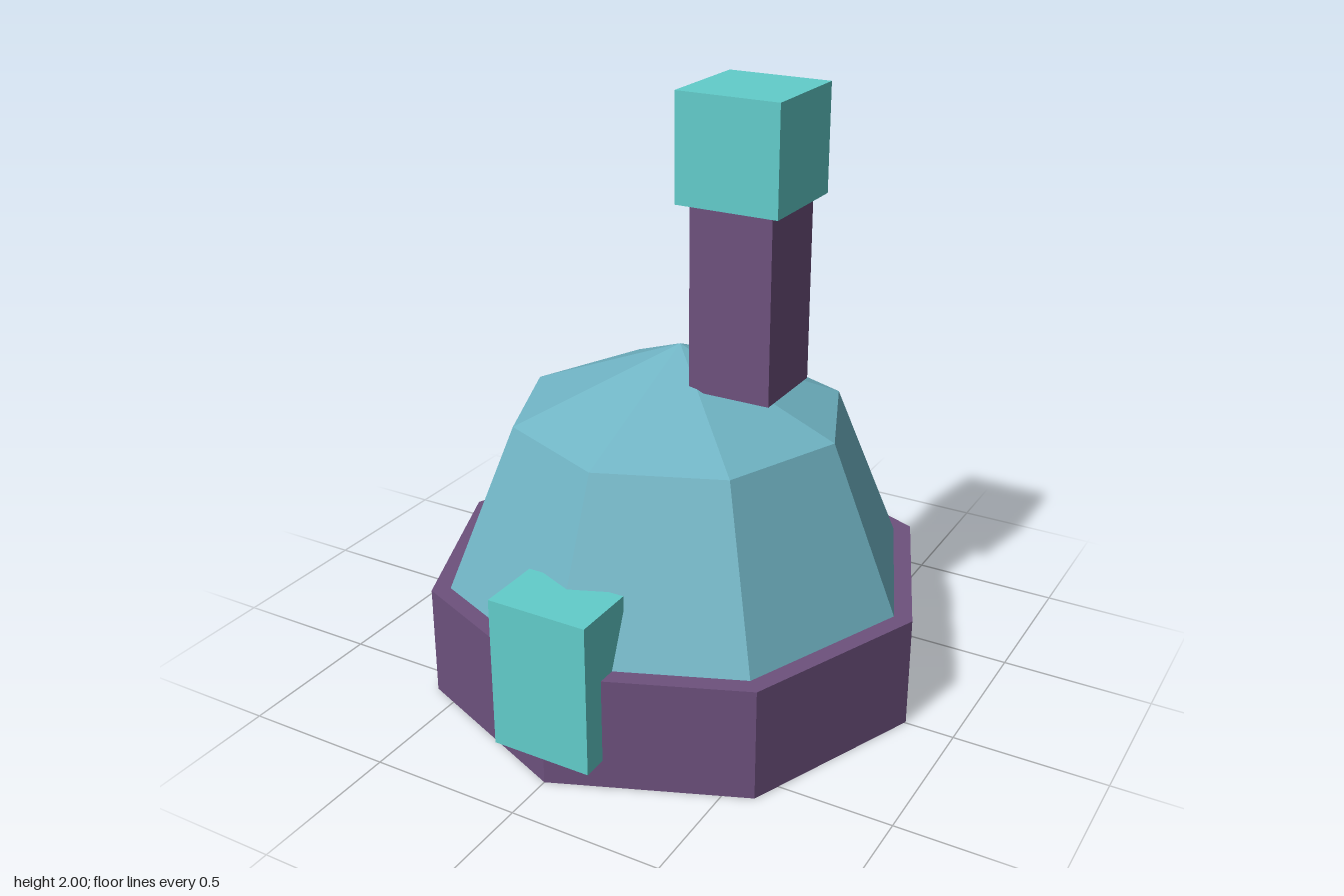
import * as THREE from 'three';

const flat = (name, color) => {
  const m = new THREE.MeshStandardMaterial({ color, flatShading: true });
  m.name = name;
  return m;
};

export function createModel() {
  const model = new THREE.Group();
  model.name = 'domeHut';
  const purple = flat('purple', 0x6d517d);
  const blue = flat('dustyBlue', 0x70b4c4);
  const teal = flat('teal', 0x62cdcb);
  const zc = -0.005; // the round body sits slightly behind centre

  const add = (name, geometry, material, x, y, z) => {
    const mesh = new THREE.Mesh(geometry, material);
    mesh.name = name;
    mesh.position.set(x, y, z);
    model.add(mesh);
  };

  // Octagonal base with a faceted half-sphere on top
  add('base', new THREE.CylinderGeometry(0.837, 0.837, 0.375, 8), purple, 0, 0.1875, zc);
  add('dome', new THREE.SphereGeometry(0.775, 8, 2, 0, Math.PI * 2, 0, Math.PI / 2), blue, 0, 0.375, zc);

  // Door block pushed into the front corner
  add('door', new THREE.BoxGeometry(0.335, 0.5, 0.215), teal, 0, 0.345, 0.7375);

  // Chimney, off to the left of the peak, with its cap
  add('chimney', new THREE.BoxGeometry(0.275, 0.6, 0.275), purple, 0.247, 1.36, zc);
  add('chimneyCap', new THREE.BoxGeometry(0.34, 0.34, 0.34), teal, 0.247, 1.83, zc);

  return model;
}
